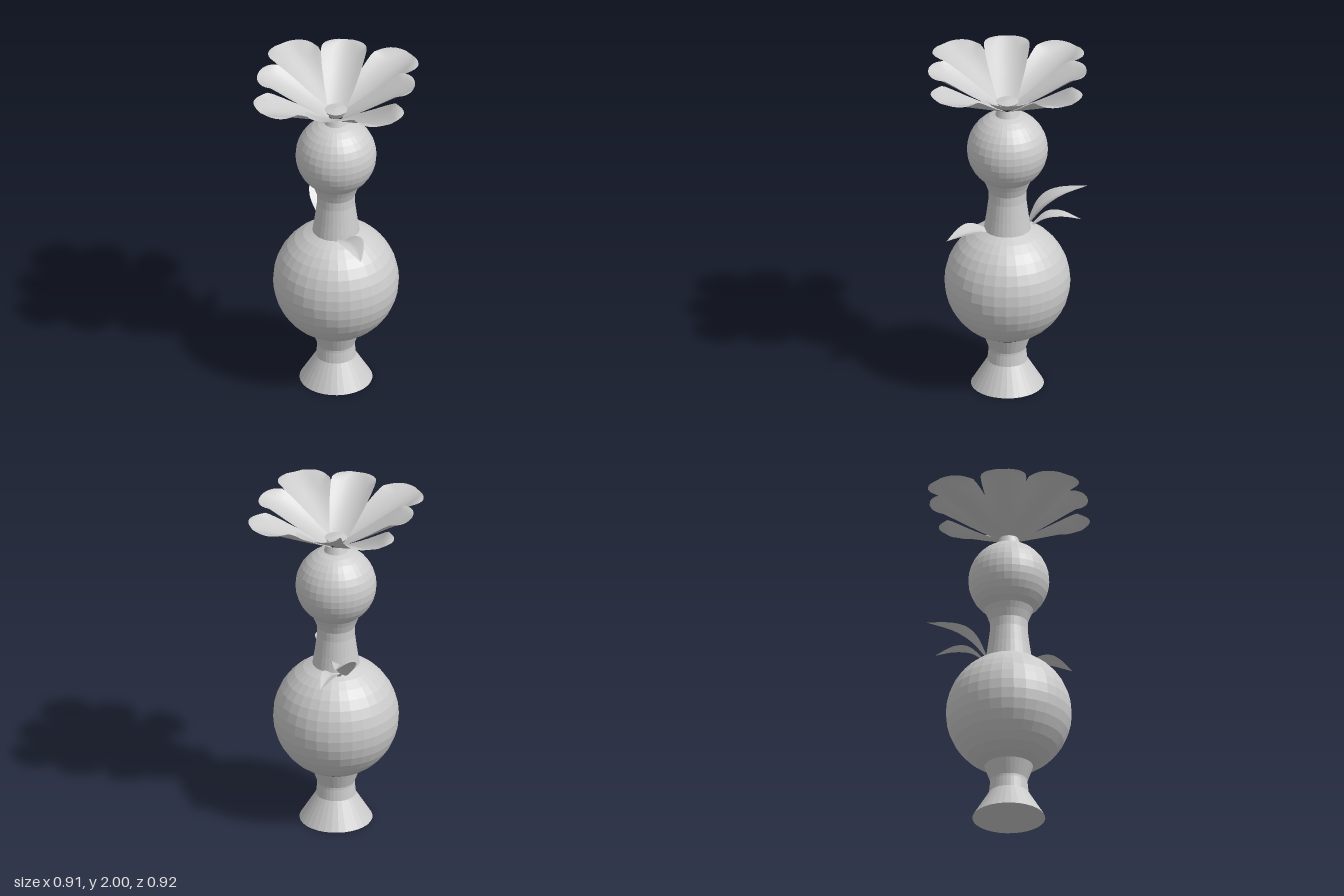
import * as THREE from 'three';

const solid = new THREE.MeshStandardMaterial({ color: 0xcccccc, flatShading: true });
const thin = new THREE.MeshStandardMaterial({ color: 0xcccccc, side: THREE.DoubleSide });

// Revolved part from [radius, height] pairs
function turned(name, profile) {
  const points = profile.map(([r, y]) => new THREE.Vector2(r, y));
  const mesh = new THREE.Mesh(new THREE.LatheGeometry(points, 32), solid);
  mesh.name = name;
  return mesh;
}

// Profile of a ball cut flat where it meets a neck of radius r
function ballProfile(y, radius, neck, rings) {
  const a = Math.asin(neck / radius), out = [];
  for (let i = 0; i <= rings; i++) {
    const t = a + (Math.PI - 2 * a) * i / rings;
    out.push([radius * Math.sin(t), y - radius * Math.cos(t)]);
  }
  return out;
}

// Thin blade swept along a curve: width(t) is the half width,
// lift(d) raises the surface at distance d from the midrib, up to the height top
function blade(name, points, width, lift, top, rows = 20, cols = 8) {
  const curve = new THREE.CatmullRomCurve3(points.map((p) => new THREE.Vector3(...p)));
  const first = curve.getPoint(0), last = curve.getPoint(1);
  const side = new THREE.Vector3(last.z - first.z, 0, first.x - last.x).normalize();
  const pos = [], index = [];
  for (let i = 0; i <= rows; i++) {
    const t = 1 - (1 - i / rows) ** 1.5; // finer rows toward the tip
    const c = curve.getPoint(t), w = width(t);
    for (let j = 0; j <= cols; j++) {
      const d = (j / cols * 2 - 1) * w;
      const p = c.clone().addScaledVector(side, d);
      pos.push(p.x, Math.min(p.y + lift(Math.abs(d)), top), p.z);
      if (i < rows && j < cols) {
        const a = i * (cols + 1) + j, b = a + cols + 1;
        index.push(a, a + 1, b, a + 1, b + 1, b);
      }
    }
  }
  const geo = new THREE.BufferGeometry();
  geo.setAttribute('position', new THREE.Float32BufferAttribute(pos, 3));
  geo.setIndex(index);
  geo.computeVertexNormals();
  const mesh = new THREE.Mesh(geo, thin);
  mesh.name = name;
  return mesh;
}

// Half width: narrow base, widest at peak, broad rounded tip
function petalWidth(base, max, peak, power) {
  return (t) => {
    const s = Math.min(t / peak, 1);
    const e = Math.max(0, (t - peak) / (1 - peak));
    return (base + (max - base) * s * (1.25 - 0.25 * s * s)) * Math.sqrt(Math.max(0, 1 - e ** power));
  };
}

export function createModel() {
  const group = new THREE.Group();

  // Stacked vase: foot, large ball, neck, small ball, collar
  group.add(
    turned('foot', [[0, 0], [0.21, 0], [0.115, 0.155], [0.108, 0.22], [0.108, 0.235], [0.14, 0.325]]),
    turned('largeBall', ballProfile(0.66, 0.362, 0.135, 14)),
    turned('neck', [[0.136, 0.99], [0.122, 1.08], [0.109, 1.18], [0.109, 1.235], [0.125, 1.28], [0.15, 1.335]]),
    turned('smallBall', ballProfile(1.5, 0.233, 0.065, 14)),
    turned('collar', [[0.07, 1.72], [0.06, 1.75], [0.055, 1.765]]),
    turned('flowerCentre', [[0, 1.76], [0.04, 1.765], [0.065, 1.805], [0, 1.815]]),
  );

  // Flower: cupped petals with level rims, four upper and four longer ones between
  const flower = new THREE.Group();
  flower.name = 'flower';
  const cup = (d) => 3.2 * d * d;
  for (let i = 0; i < 4; i++) {
    const upper = blade('upperPetal',
      [[0.04, 1.765, 0], [0.19, 1.846, 0], [0.33, 1.927, 0], [0.456, 1.998, 0]],
      petalWidth(0.05, 0.131, 0.7, 2.7), cup, 2);
    upper.rotation.y = i * Math.PI / 2 + 0.03;
    const lower = blade('lowerPetal',
      [[0.04, 1.76, 0], [0.22, 1.838, 0], [0.39, 1.915, 0], [0.537, 1.978, 0]],
      petalWidth(0.045, 0.15, 0.62, 3.7), cup, 1.982);
    lower.rotation.y = i * Math.PI / 2 + Math.PI / 4;
    flower.add(upper, lower);
  }
  group.add(flower);

  // Pointed, folded leaves on the shoulder of the large ball
  const leafWidth = (max) => (t) => max * Math.sin(Math.PI * (0.08 + 0.92 * t ** 0.9));
  const fold = (d) => 0.4 * d;
  group.add(
    blade('tallBackLeaf', [[-0.09, 0.98, -0.12], [-0.11, 1.07, -0.19], [-0.125, 1.14, -0.29], [-0.147, 1.195, -0.46]],
      leafWidth(0.075), fold, 1.2),
    blade('lowBackLeaf', [[-0.06, 0.98, -0.14], [-0.055, 1.03, -0.22], [-0.05, 1.045, -0.31], [-0.045, 1.03, -0.42]],
      leafWidth(0.052), fold, 1.2),
    blade('frontLeaf', [[0.05, 0.985, 0.09], [0.1, 1.015, 0.17], [0.15, 1.02, 0.25], [0.2, 1.002, 0.345]],
      leafWidth(0.07), fold, 1.2),
  );
  return group;
}
